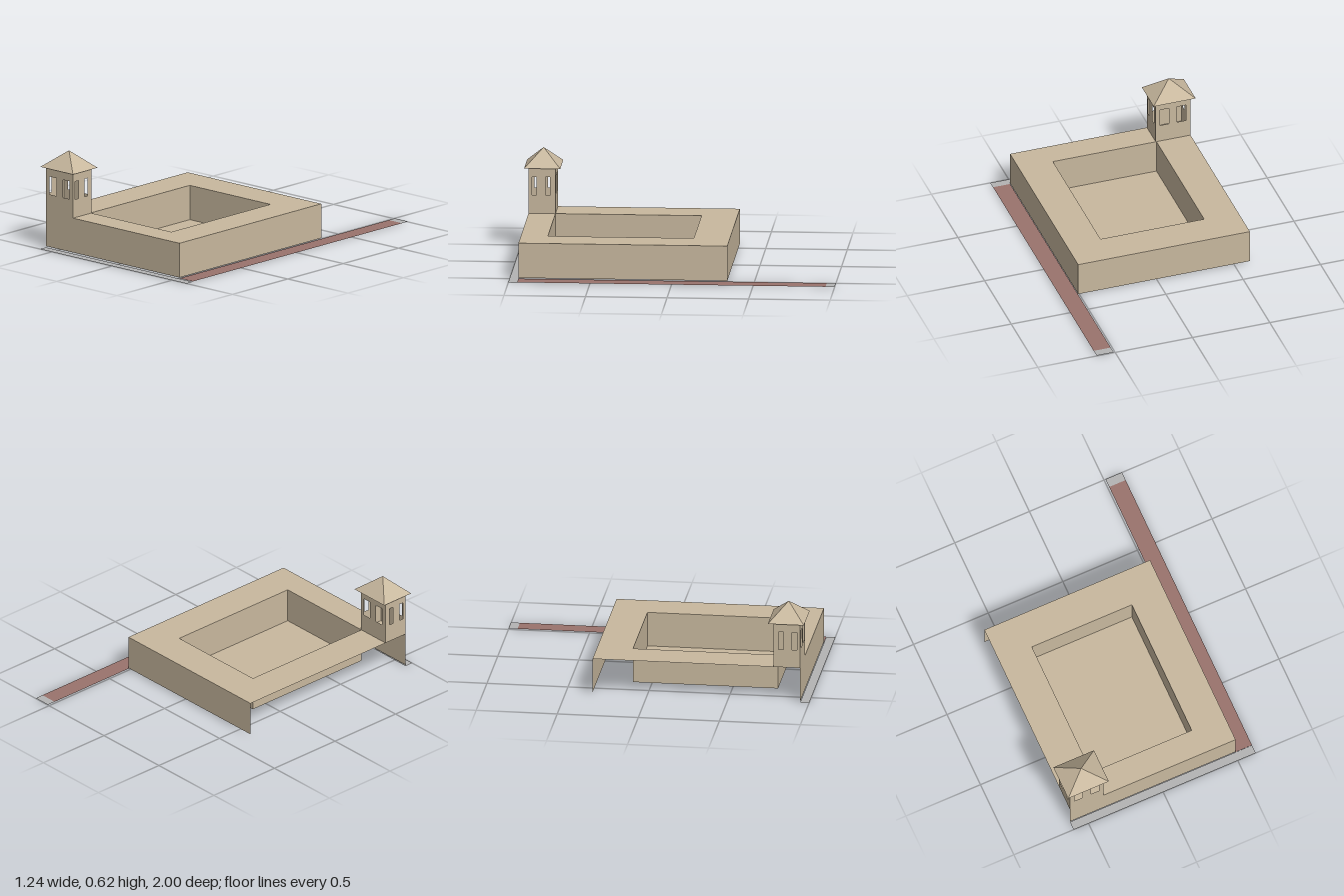
import * as THREE from 'three';

const stone = new THREE.MeshStandardMaterial({ color: 0xc8b89e, side: THREE.DoubleSide });
stone.name = 'tan stone';
const paving = new THREE.MeshStandardMaterial({ color: 0xb4b4b4, side: THREE.DoubleSide });
paving.name = 'grey paving';
const brick = new THREE.MeshStandardMaterial({ color: 0x9a736d, side: THREE.DoubleSide });
brick.name = 'red brown path';

// Plan and height limits
const X0 = -0.6, X1 = 0.51, Z0 = -0.335, Z1 = 0.945;
const BASE = 0.008, TOP = 0.225, EAVE = 0.51;
const yard = { x0: -0.38, x1: 0.29, z0: -0.115, z1: 0.78 };
const tower = { x0: X0, x1: -0.375, z0: 0.78, z1: Z1 };

function rectPoints(a0, b0, a1, b1) {
  return [[a0, b0], [a1, b0], [a1, b1], [a0, b1]].map(([a, b]) => new THREE.Vector2(a, b));
}

// Flat panel from an outline and rectangular openings
function panel(points, holes = []) {
  const shape = new THREE.Shape(points);
  for (const h of holes) shape.holes.push(new THREE.Path(rectPoints(...h)));
  return new THREE.ShapeGeometry(shape);
}

export function createModel() {
  const model = new THREE.Group();
  model.name = 'courtyardBuilding';

  function add(name, geometry, material = stone) {
    const mesh = new THREE.Mesh(geometry, material);
    mesh.name = name;
    model.add(mesh);
    return mesh;
  }
  // Wall across x at depth z; dir is the z direction it faces
  function wallX(name, z, dir, points, holes) {
    const g = panel(points, holes);
    if (dir < 0) g.scale(-1, 1, 1).rotateY(Math.PI);
    return add(name, g.translate(0, 0, z));
  }
  // Wall along z at position x, outline given in (z, y)
  function wallZ(name, x, dir, points, holes) {
    const flipped = points.map((p) => new THREE.Vector2(-dir * p.x, p.y));
    const openings = (holes || []).map(([a, b, c, d]) => [-dir * a, b, -dir * c, d]);
    return add(name, panel(flipped, openings).rotateY(dir * Math.PI / 2).translate(x, 0, 0));
  }
  // Level sheet, outline given in (x, z)
  function sheet(name, y, rect, material, holes = []) {
    const [a, b, c, d] = rect;
    const g = panel(rectPoints(a, -d, c, -b), holes.map(([e, f, h, i]) => [e, -i, h, -f]));
    return add(name, g.rotateX(-Math.PI / 2).translate(0, y, 0), material);
  }

  // Window openings of the tower
  const frontWindows = [[-0.57, 0.34, -0.514, 0.453], [-0.46, 0.34, -0.404, 0.453]];
  const sideWindows = [[0.812, 0.34, 0.842, 0.453], [0.895, 0.34, 0.925, 0.453]];

  // Front wall runs up into the tower
  const frontOutline = [[X0, BASE], [X1, BASE], [X1, TOP], [tower.x1, TOP], [tower.x1, EAVE], [X0, EAVE]]
    .map(([x, y]) => new THREE.Vector2(x, y));
  wallX('frontWall', Z1, 1, frontOutline, frontWindows);
  wallX('backWall', Z0, -1, rectPoints(X0, BASE, X1, TOP));
  wallZ('sideWall', X1, 1, rectPoints(Z0, BASE, Z1, TOP));

  // Roof terrace around the sunken courtyard
  sheet('terrace', TOP, [X0, Z0, X1, Z1], stone, [[yard.x0, yard.z0, yard.x1, yard.z1]]);
  sheet('courtyardFloor', BASE, [yard.x0, yard.z0, yard.x1, yard.z1], stone);
  for (const [z, dir] of [[yard.z0, 1], [yard.z1, -1]])
    wallX('courtyardWall', z, dir, rectPoints(yard.x0, BASE, yard.x1, TOP));
  for (const [x, dir] of [[yard.x0, 1], [yard.x1, -1]])
    wallZ('courtyardWall', x, dir, rectPoints(yard.z0, BASE, yard.z1, TOP));

  // Remaining tower walls
  wallX('towerBackWall', tower.z0, -1, rectPoints(tower.x0, TOP, tower.x1, EAVE), frontWindows);
  for (const [x, dir] of [[tower.x0, -1], [tower.x1, 1]])
    wallZ('towerSideWall', x, dir, rectPoints(tower.z0, TOP, tower.z1, EAVE), sideWindows);

  // Pyramid roof with overhanging eaves
  const roof = new THREE.ConeGeometry(Math.SQRT1_2, 1, 4, 1).rotateY(Math.PI / 4).toNonIndexed();
  roof.scale(0.272, 0.107, 0.222).computeVertexNormals();
  add('towerRoof', roof).position.set(-0.487, EAVE + 0.0535, 0.86);

  // Path along the side and paving strips at its ends
  sheet('sidePath', 0.003, [X1, -0.945, 0.62, Z1], brick);
  sheet('frontPaving', 0, [X0, Z1, 0.62, 1], paving);
  sheet('pathEndPaving', 0.003, [X1, -1, 0.62, -0.945], paving);

  return model;
}
